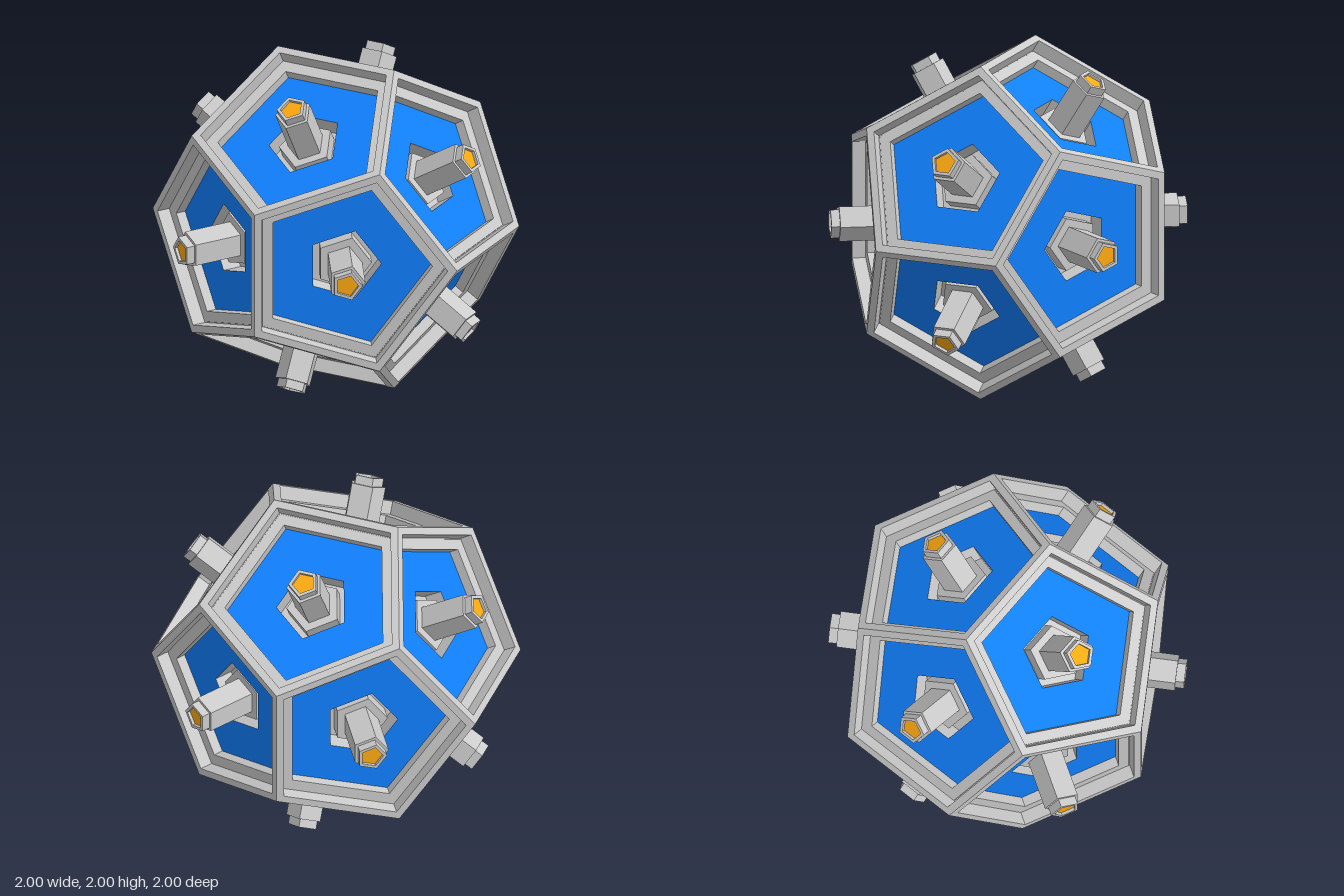
import * as THREE from 'three';

const grey = new THREE.MeshStandardMaterial({ color: 0xcccccc, flatShading: true });
const blue = new THREE.MeshStandardMaterial({ color: 0x1080ff, flatShading: true });
const gold = new THREE.MeshStandardMaterial({ color: 0xffaa11, flatShading: true });

// Five-sided turned part; profile is [radius, distance from the centre]
function pentagonPart(name, profile, material) {
  const points = profile.map(([r, d]) => new THREE.Vector2(r, d));
  const geometry = new THREE.LatheGeometry(points, 5).toNonIndexed();
  geometry.computeVertexNormals();
  const mesh = new THREE.Mesh(geometry, material);
  mesh.name = name;
  return mesh;
}

// One face of the shell, with its axis along +y and its apex towards +z
function createFace() {
  const face = new THREE.Group();
  face.name = 'face';
  face.add(
    // stepped border
    pentagonPart('frame', [[0.65, 0.8507], [0.596, 0.8507], [0.596, 0.772], [0.513, 0.772], [0.513, 0.713]], grey),
    // recessed panel with a pentagonal hole
    pentagonPart('panel', [[0.513, 0.713], [0.22, 0.713]], blue),
    // hole wall, floor and raised collar around the rod
    pentagonPart('socket', [[0.22, 0.713], [0.22, 0.6], [0.165, 0.6], [0.165, 0.69], [0.11, 0.69]], grey),
    // rod with a narrower hollow tip
    pentagonPart('rod', [[0.11, 0.6], [0.11, 0.99], [0.09, 0.99], [0.09, 1.04], [0.068, 1.04], [0.068, 1.022]], grey),
    pentagonPart('rodCap', [[0.068, 1.022], [0, 1.022]], gold)
  );
  return face;
}

export function createModel() {
  const model = new THREE.Group();
  model.name = 'dodecahedron';
  const a = 0.525731, b = 0.850651;
  const prototype = createFace();

  // Twelve faces: four sign pairs, each cycled through the three axes
  for (const s of [1, -1]) for (const t of [1, -1]) {
    let n = [s * a, 0, t * b];
    let v = [s * b, 0, -t * a];
    for (let k = 0; k < 3; k++) {
      const normal = new THREE.Vector3(...n);
      const apex = new THREE.Vector3(...v);
      const side = new THREE.Vector3().crossVectors(normal, apex);
      const face = prototype.clone();
      face.quaternion.setFromRotationMatrix(new THREE.Matrix4().makeBasis(side, normal, apex));
      face.position.y = 1;
      model.add(face);
      n = [n[2], n[0], n[1]];
      v = [v[2], v[0], v[1]];
    }
  }
  return model;
}
